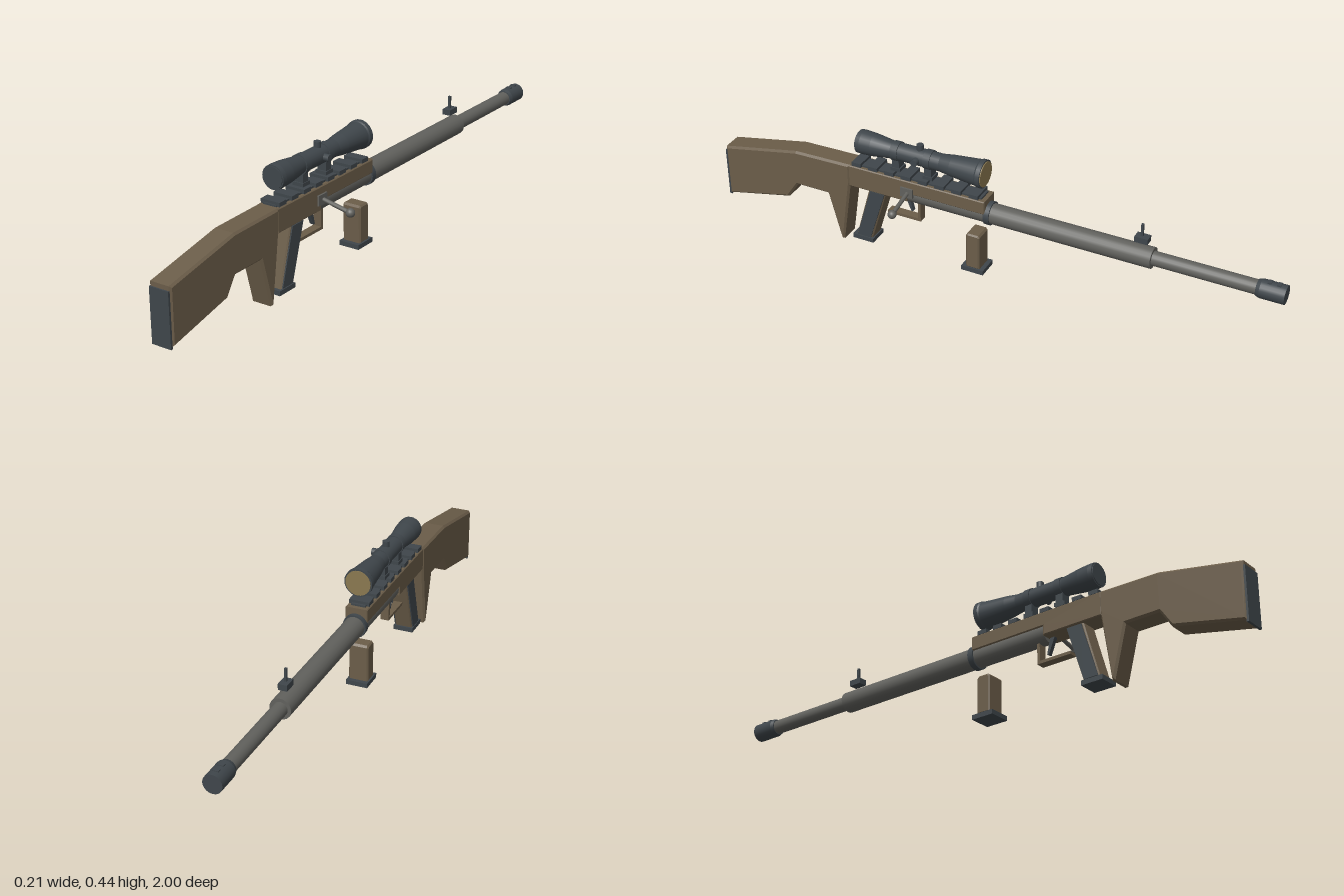
import * as THREE from 'three';

const mat = (name, color) => {
  const m = new THREE.MeshStandardMaterial({ color });
  m.name = name;
  return m;
};

export function createModel() {
  const brown = mat('earth brown', 0x6b5d49);
  const dark = mat('dark slate', 0x3f464b);
  const gray = mat('gun metal grey', 0x61615d);
  const tan = mat('lens amber', 0x8a7850);

  const root = new THREE.Group();
  root.name = 'rifle';
  const gun = new THREE.Group();
  gun.name = 'rifleParts';
  gun.position.x = -0.056; // the bolt handle sticks out on one side
  root.add(gun);

  const add = (name, geo, material, x = 0, y = 0, z = 0) => {
    const m = new THREE.Mesh(geo, material);
    m.name = name;
    m.position.set(x, y, z);
    gun.add(m);
    return m;
  };
  const box = (name, material, w, h, d, x, y, z) =>
    add(name, new THREE.BoxGeometry(w, h, d), material, x, y, z);
  // Side outline of [z, y] points, extruded to a width across x
  const slab = (name, material, pts, width, bevel = 0, x = 0) => {
    const shape = new THREE.Shape(pts.map(p => new THREE.Vector2(...p)));
    const geo = new THREE.ExtrudeGeometry(shape, {
      depth: width - 2 * bevel, bevelEnabled: bevel > 0, bevelSegments: 1,
      bevelSize: bevel, bevelThickness: bevel, bevelOffset: -bevel,
    });
    geo.translate(0, 0, bevel - width / 2);
    geo.rotateY(-Math.PI / 2);
    return add(name, geo, material, x);
  };
  // Tube along z from zBack to zFront
  const tube = (name, material, rBack, rFront, zBack, zFront, y, sides = 20) => {
    const geo = new THREE.CylinderGeometry(rBack, rFront, zBack - zFront, sides);
    geo.rotateX(Math.PI / 2);
    return add(name, geo, material, 0, y, (zBack + zFront) / 2);
  };

  // Stock with its pointed spur, and the butt pad
  slab('stock', brown, [
    [0.995, 0.055], [0.995, 0.245], [0.71, 0.302], [0.5, 0.306], [0.5, 0.235],
    [0.535, 0], [0.545, 0], [0.59, 0.17], [0.71, 0.17], [0.75, 0.11],
  ], 0.08, 0.007);
  box('buttPad', dark, 0.07, 0.18, 0.008, 0, 0.14, 0.996);

  // Receiver: full height at the rear, cut away over the lower tube in front
  slab('receiver', brown, [
    [0.505, 0.225], [0.505, 0.305], [0, 0.305], [0, 0.257], [0.285, 0.257], [0.285, 0.225],
  ], 0.076, 0.003);
  tube('receiverTube', gray, 0.035, 0.035, 0.285, 0, 0.246);

  // Barrel and muzzle
  tube('barrelCollar', dark, 0.04, 0.04, 0.005, -0.015, 0.246);
  tube('barrelSleeve', gray, 0.035, 0.035, 0, -0.57, 0.246);
  tube('barrel', gray, 0.024, 0.024, -0.56, -0.92, 0.246);
  tube('muzzleNeck', dark, 0.027, 0.031, -0.908, -0.92, 0.246);
  tube('muzzle', dark, 0.031, 0.031, -0.92, -1, 0.246);
  for (const z of [-0.945, -0.975]) box('muzzlePort', dark, 0.02, 0.008, 0.012, 0, 0.275, z);

  // Raised front sight
  box('frontSightBase', dark, 0.03, 0.02, 0.045, 0, 0.308, -0.53);
  box('frontSightPost', dark, 0.008, 0.045, 0.008, 0, 0.339, -0.528);

  // Accessory rail with teeth
  box('rail', dark, 0.05, 0.008, 0.48, 0, 0.307, 0.255);
  for (let i = 0; i < 8; i++) box('railTooth', dark, 0.07, 0.014, 0.034, 0, 0.313, 0.475 - i * 0.062);

  // Scope: profile of [radius, distance] turned about z
  const profile = [
    [0, 0.475], [0.04, 0.475], [0.041, 0.46], [0.039, 0.42], [0.03, 0.35],
    [0.03, 0.17], [0.036, 0.13], [0.045, 0.035], [0.048, 0.03], [0.048, 0.015], [0, 0.015],
  ];
  for (let i = 0; i < profile.length - 1; i++) {
    const [[r0, z0], [r1, z1]] = [profile[i], profile[i + 1]];
    const geo = new THREE.LatheGeometry(
      [new THREE.Vector2(r1, z1), new THREE.Vector2(r0, z0)], 24);
    geo.rotateX(Math.PI / 2);
    // Profile runs from rear to front, so wind it outward
    const m = add('scopeBody', geo, dark, 0, 0.388, 0);
    m.geometry.computeBoundingSphere();
  }
  tube('eyepieceGlass', dark, 0.036, 0.036, 0.478, 0.47, 0.388, 24);
  tube('objectiveLens', tan, 0.043, 0.043, 0.018, 0.012, 0.388, 24);
  add('elevationKnob', new THREE.CylinderGeometry(0.012, 0.012, 0.03, 12), dark, 0, 0.42, 0.25);
  add('windageKnob', new THREE.CylinderGeometry(0.012, 0.012, 0.03, 12), dark, 0.033, 0.388, 0.25)
    .rotation.z = Math.PI / 2;
  for (const z of [0.335, 0.215]) {
    box('scopeMount', dark, 0.034, 0.05, 0.026, 0, 0.343, z);
    box('scopeClamp', dark, 0.04, 0.012, 0.036, 0, 0.326, z);
    tube('scopeRing', dark, 0.033, 0.033, z + 0.012, z - 0.012, 0.388);
  }

  // Bolt plate, handle and knob
  box('boltPlate', gray, 0.012, 0.034, 0.045, 0.038, 0.263, 0.283);
  const from = new THREE.Vector3(0.036, 0.263, 0.28);
  const to = new THREE.Vector3(0.144, 0.24, 0.28);
  add('boltHandle', new THREE.TubeGeometry(new THREE.LineCurve3(from, to), 1, 0.007, 12), gray);
  add('boltKnob', new THREE.SphereGeometry(0.015, 16, 12), gray, to.x, to.y, to.z);

  // Slanted grip with dark side panels and base
  slab('grip', brown, [[0.432, 0.228], [0.368, 0.228], [0.428, 0.03], [0.488, 0.03]], 0.06, 0.004);
  for (const s of [-1, 1]) {
    slab('gripPanel', dark, [[0.427, 0.222], [0.373, 0.222], [0.432, 0.034], [0.483, 0.034]],
      0.006, 0, s * 0.031);
  }
  box('gripBase', dark, 0.07, 0.016, 0.078, 0, 0.024, 0.461);

  // Trigger and guard
  slab('trigger', dark, [[0.31, 0.23], [0.292, 0.23], [0.278, 0.172], [0.285, 0.17]], 0.014);
  box('guardBar', brown, 0.03, 0.01, 0.125, 0, 0.149, 0.309);
  box('guardPost', brown, 0.03, 0.08, 0.01, 0, 0.184, 0.251);

  // Separate magazine below the receiver
  slab('magazine', brown, [
    [0.07, 0.03], [0.07, 0.155], [0.064, 0.162], [0.026, 0.162], [0.02, 0.155], [0.02, 0.03],
  ], 0.068, 0.005);
  box('magazineBase', dark, 0.075, 0.016, 0.08, 0, 0.024, 0.045);

  return root;
}
